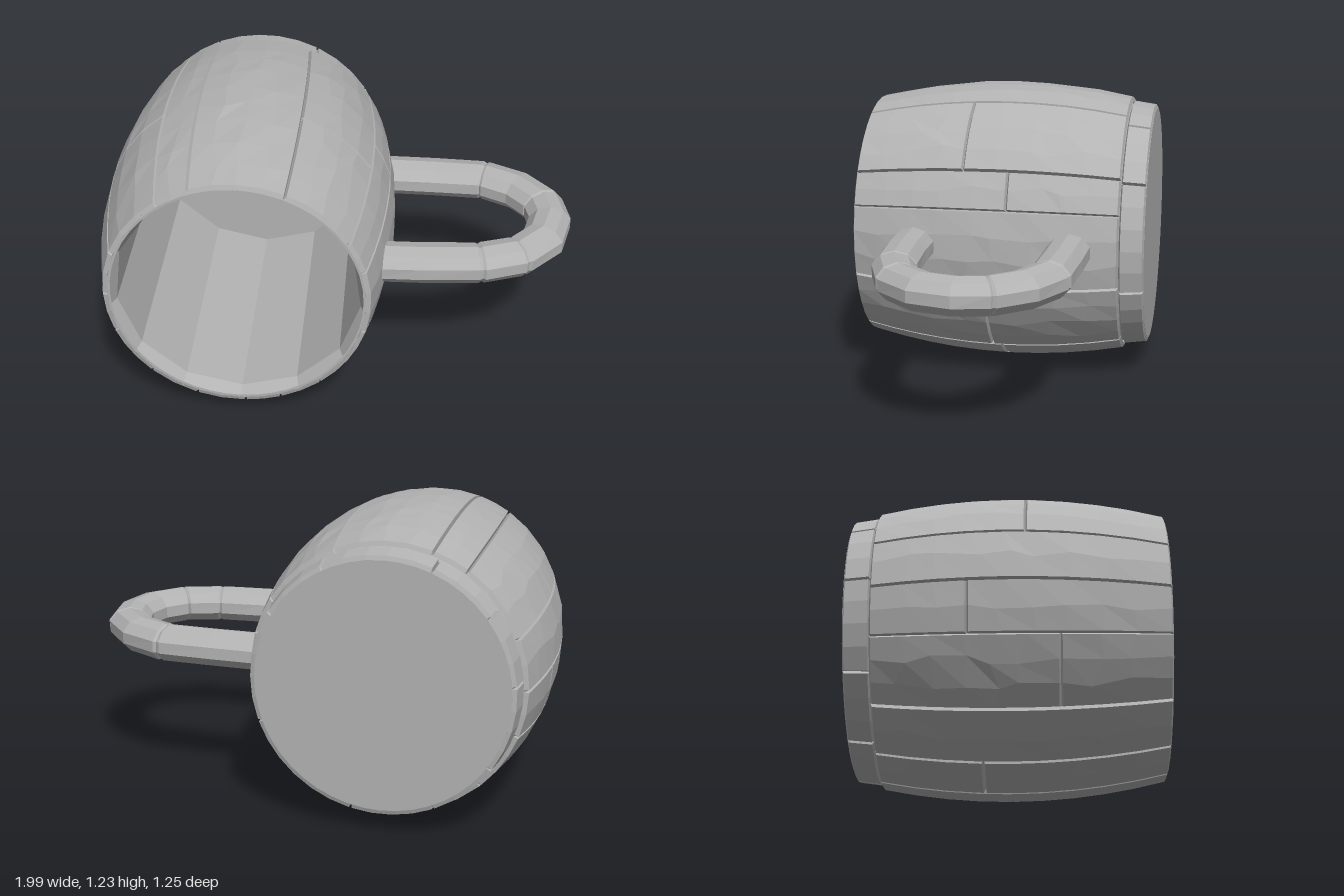
import * as THREE from 'three';

const CX = -0.385, CY = 0.617;   // barrel axis, running along z
const rad = THREE.MathUtils.degToRad;

// Small seeded noise in -1..1
let seed = 7;
function noise() {
  seed = (seed * 16807) % 2147483647;
  return (seed / 2147483647) * 2 - 1;
}

const bulge = z => 0.617 - 0.2 * z * z;
const hoopRadius = z => 0.547 + (z + 0.52) * 0.14;

// Subdivide a span, with a narrow bevel strip at each end
function spread(a, b, bevel, n) {
  const out = [a];
  for (let i = 0; i <= n; i++) out.push(a + bevel + (b - a - 2 * bevel) * i / n);
  out.push(b);
  return out;
}

// Curved plank whose edges sink to leave a groove beside its neighbour
function plankGeometry(a0, a1, z0, z1, radiusAt, rows) {
  const us = spread(a0, a1, 0.011, Math.max(2, Math.round((a1 - a0) / rad(10))));
  const vs = spread(z0, z1, 0.007, rows);
  const nu = us.length - 1, nv = vs.length - 1;
  const geo = new THREE.PlaneGeometry(1, 1, nu, nv);
  const pos = geo.attributes.position;
  for (let k = 0; k < pos.count; k++) {
    const i = k % (nu + 1), j = nv - Math.floor(k / (nu + 1));
    const edge = i === 0 || j === 0 || i === nu || j === nv;
    const inner = i > 1 && j > 1 && i < nu - 1 && j < nv - 1;
    const a = us[i] + (inner ? noise() * 0.035 : 0);
    const z = vs[j] + (inner ? noise() * 0.035 : 0);
    const r = radiusAt(z) - (edge ? 0.018 : 0) + (inner ? noise() * 0.003 : 0);
    pos.setXYZ(k, CX + r * Math.cos(a), CY + r * Math.sin(a), z);
  }
  return geo;
}

// Lathe turned so its axis runs along z through the barrel centre
function turned(profile, sides) {
  const geo = new THREE.LatheGeometry(profile.map(p => new THREE.Vector2(...p)), sides);
  return geo.rotateX(Math.PI / 2).translate(CX, CY, 0);
}

// Oval tube through x,z points, pinched at the joints between its pieces
function handleGeometry() {
  const path = new THREE.CatmullRomCurve3([
    [0.14, 0.345], [0.36, 0.345], [0.59, 0.33], [0.75, 0.275], [0.86, 0.16], [0.895, 0.02],
    [0.87, -0.1], [0.77, -0.22], [0.62, -0.295], [0.4, -0.31], [0.14, -0.318],
  ].map(([x, z]) => new THREE.Vector3(x, 0.622, z)), false, 'centripetal');
  const ts = [];
  for (let i = 0; i <= 10; i++) {
    const t = i / 10;
    if ([2, 3, 6, 8].includes(i)) ts.push([t - 0.006, 1], [t, 0.92], [t + 0.006, 1]);
    else ts.push([t, 1]);
  }
  const sides = 10, verts = [], index = [];
  ts.forEach(([t, s], row) => {
    const p = path.getPoint(t), d = path.getTangent(t);
    for (let k = 0; k < sides; k++) {
      const a = (k + 0.5) / sides * Math.PI * 2;
      const w = Math.cos(a) * 0.094 * s * (1 + noise() * 0.02);
      const h = Math.sin(a) * 0.079 * s;
      verts.push(p.x - d.z * w, p.y + h, p.z + d.x * w);
      if (row) {
        const k2 = (k + 1) % sides, b = row * sides, c = b - sides;
        index.push(c + k, c + k2, b + k2, c + k, b + k2, b + k);
      }
    }
  });
  const geo = new THREE.BufferGeometry();
  geo.setAttribute('position', new THREE.Float32BufferAttribute(verts, 3));
  geo.setIndex(index);
  geo.computeVertexNormals();
  return geo;
}

export function createModel() {
  const model = new THREE.Group();
  model.name = 'barrelMug';
  const wood = new THREE.MeshStandardMaterial({ color: 0xb3b3b3, flatShading: true, side: THREE.DoubleSide });
  wood.name = 'plainGrey';
  const add = (parent, name, geo) => {
    const mesh = new THREE.Mesh(geo, wood);
    mesh.name = name;
    parent.add(mesh);
  };

  // Core behind the grooves, with the flat base and the rim
  const shell = [[0, -0.625], [0.515, -0.625], [0.526, -0.52]];
  for (let z = -0.5; z < 0.6; z += 0.1) shell.push([bulge(z) - 0.021, z]);
  shell.push([0.52, 0.624], [0.51, 0.624]);
  add(model, 'core', turned(shell, 48));

  // Faceted hollow
  add(model, 'interior', turned([[0.525, 0.624], [0.5, 0.57], [0.495, -0.48], [0, -0.48]], 13));

  // Staves: start angle, then the z of any cross joint
  const staves = new THREE.Group();
  staves.name = 'staves';
  model.add(staves);
  const layout = [
    [-16.5], [16, -0.05], [32, 0.145], [67.5], [108.5], [124, 0.07], [158], [180, -0.15],
    [200, 0.2], [227], [250, -0.1], [272], [288, 0], [308, 0.04], [343.5],
  ];
  for (let i = 0; i < layout.length - 1; i++) {
    const [a, joint] = layout[i];
    const cuts = joint === undefined ? [-0.52, 0.625] : [-0.52, joint, 0.625];
    for (let c = 0; c < cuts.length - 1; c++) {
      const rows = Math.max(3, Math.round((cuts[c + 1] - cuts[c]) / 0.13));
      add(staves, 'stave', plankGeometry(rad(a), rad(layout[i + 1][0]), cuts[c], cuts[c + 1], bulge, rows));
    }
  }

  // Hoop around the base, in short pieces
  const hoop = new THREE.Group();
  hoop.name = 'baseHoop';
  model.add(hoop);
  const joints = [-20, 31, 63, 112, 143, 175, 214, 246, 283, 340];
  for (let i = 0; i < joints.length - 1; i++) {
    add(hoop, 'hoopPiece', plankGeometry(rad(joints[i]), rad(joints[i + 1]), -0.625, -0.52, hoopRadius, 1));
  }

  add(model, 'handle', handleGeometry());
  return model;
}
